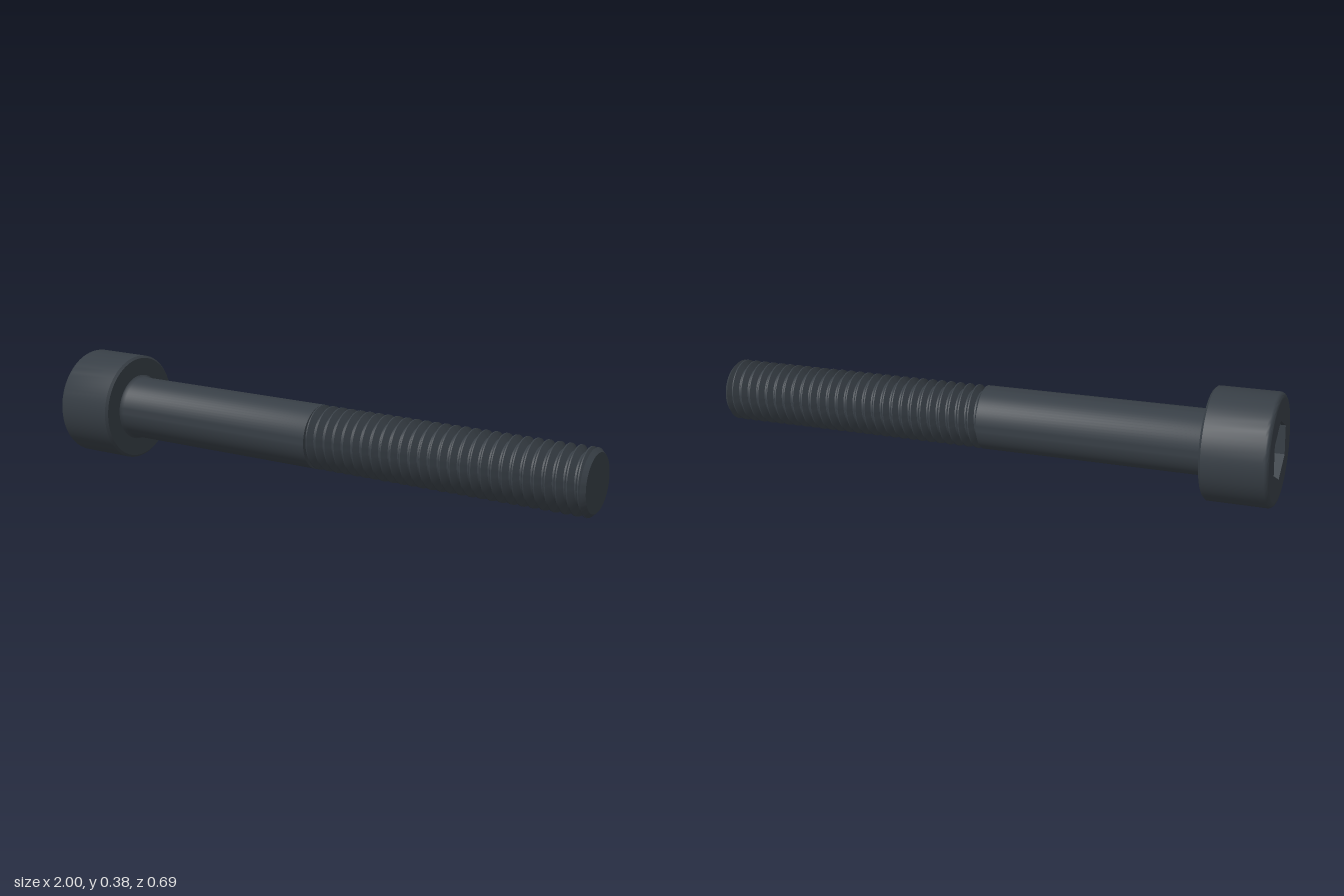
import * as THREE from 'three';
import { toCreasedNormals } from 'three/addons/utils/BufferGeometryUtils.js';

// Bolt is built along local +y: head top at y = 0, tip at y = LENGTH.
const LENGTH = 1.985, HEAD_H = 0.22, HEAD_R = 0.187, SHANK_R = 0.109;
const THREAD_START = 1.0, PITCH = 0.0353, ROOT_R = 0.088, CHAMFER = 0.014;
const HEX_R = 0.102, HEX_DEPTH = 0.11, EDGE = 0.018, SEGMENTS = 72;

export function createModel() {
  const steel = new THREE.MeshStandardMaterial({ color: 0x373e45 });
  steel.name = 'black steel';

  const bolt = new THREE.Group();
  bolt.name = 'bolt';
  const add = (name, geometry) => {
    const mesh = new THREE.Mesh(geometry, steel);
    mesh.name = name;
    bolt.add(mesh);
  };
  const lathe = (points) => toCreasedNormals(
    new THREE.LatheGeometry(points.map(([r, y]) => new THREE.Vector2(r, y)), SEGMENTS), 0.55);

  // Head: rounded top rim, straight wall, small chamfer underneath
  const headProfile = [];
  for (let i = 0; i <= 5; i++) {
    const a = (i / 5) * Math.PI / 2;
    headProfile.push([HEAD_R - EDGE + EDGE * Math.sin(a), EDGE - EDGE * Math.cos(a)]);
  }
  headProfile.push([HEAD_R, HEAD_H - 0.008], [HEAD_R - 0.008, HEAD_H], [SHANK_R, HEAD_H]);
  add('head', lathe(headProfile));

  // Top face of the head with a hexagonal opening
  const face = new THREE.Shape().absarc(0, 0, HEAD_R - EDGE, 0, Math.PI * 2);
  const hex = [];
  for (let i = 0; i < 6; i++) {
    const a = i * Math.PI / 3;
    hex.push(new THREE.Vector2(HEX_R * Math.sin(a), HEX_R * Math.cos(a)));
  }
  face.holes.push(new THREE.Path(hex));
  add('headFace', new THREE.ShapeGeometry(face, SEGMENTS / 2).rotateX(Math.PI / 2));

  // Hex socket: mirrored tube so its walls face inward, plus a floor
  const walls = new THREE.CylinderGeometry(HEX_R, HEX_R, HEX_DEPTH, 6, 1, true)
    .scale(-1, 1, 1).translate(0, HEX_DEPTH / 2, 0).toNonIndexed();
  walls.computeVertexNormals();
  add('socketWalls', walls);
  add('socketFloor', new THREE.CircleGeometry(HEX_R, 6, Math.PI / 2)
    .rotateX(Math.PI / 2).translate(0, HEX_DEPTH, 0));

  // Smooth shank with a fillet under the head
  add('shank', lathe([
    [SHANK_R + 0.008, HEAD_H], [SHANK_R + 0.003, HEAD_H + 0.004], [SHANK_R, HEAD_H + 0.012],
    [SHANK_R, THREAD_START], [ROOT_R - 0.002, THREAD_START + 0.004],
  ]));

  add('thread', threadGeometry(THREAD_START, LENGTH - CHAMFER));

  // Chamfered tip
  add('tip', lathe([
    [ROOT_R - 0.002, LENGTH - CHAMFER - 0.012], [SHANK_R - 0.001, LENGTH - CHAMFER],
    [0.095, LENGTH], [0, LENGTH],
  ]));

  // Lay the bolt down along its slanted axis
  const axis = new THREE.Vector3(0.977, -0.045, 0.207).normalize();
  const up = new THREE.Vector3(0, 1, 0).addScaledVector(axis, -axis.y).normalize();
  const side = new THREE.Vector3().crossVectors(axis, up);
  bolt.quaternion.setFromRotationMatrix(new THREE.Matrix4().makeBasis(side, axis, up));
  bolt.position.set(-0.962, 0.199, -0.17);

  const model = new THREE.Group();
  model.name = 'socketHeadBolt';
  model.add(bolt);
  return model;
}

// Right-handed helical ridge: each row of vertices follows the helix
function threadGeometry(start, end) {
  const steps = [0, 0.12, 0.5, 0.66];
  const radii = [SHANK_R, SHANK_R, ROOT_R, ROOT_R];
  const turns = Math.ceil((end - start) / PITCH) + 1;
  const rows = turns * 4 + 1;
  const positions = [], index = [];

  const radiusAt = (phase) => {
    const p = phase - Math.floor(phase);
    for (let k = 0; k < 4; k++) {
      const next = k < 3 ? steps[k + 1] : 1;
      if (p <= next) {
        const t = (p - steps[k]) / (next - steps[k]);
        return THREE.MathUtils.lerp(radii[k], radii[(k + 1) % 4], t);
      }
    }
    return SHANK_R;
  };

  for (let j = 0; j < rows; j++) {
    const rowPhase = Math.floor(j / 4) - 1 + steps[j % 4];
    for (let i = 0; i <= SEGMENTS; i++) {
      const turn = i / SEGMENTS, a = turn * Math.PI * 2;
      const raw = start + PITCH * (rowPhase + turn);
      const y = THREE.MathUtils.clamp(raw, start, end);
      const r = y === raw ? radii[j % 4] : radiusAt((y - start) / PITCH - turn);
      positions.push(r * Math.sin(a), y, r * Math.cos(a));
      if (j < rows - 1 && i < SEGMENTS) {
        const p = j * (SEGMENTS + 1) + i, q = p + SEGMENTS + 1;
        index.push(p, p + 1, q, q + 1, q, p + 1);
      }
    }
  }
  const geometry = new THREE.BufferGeometry();
  geometry.setAttribute('position', new THREE.Float32BufferAttribute(positions, 3));
  geometry.setIndex(index);
  return toCreasedNormals(geometry, 0.5);
}
